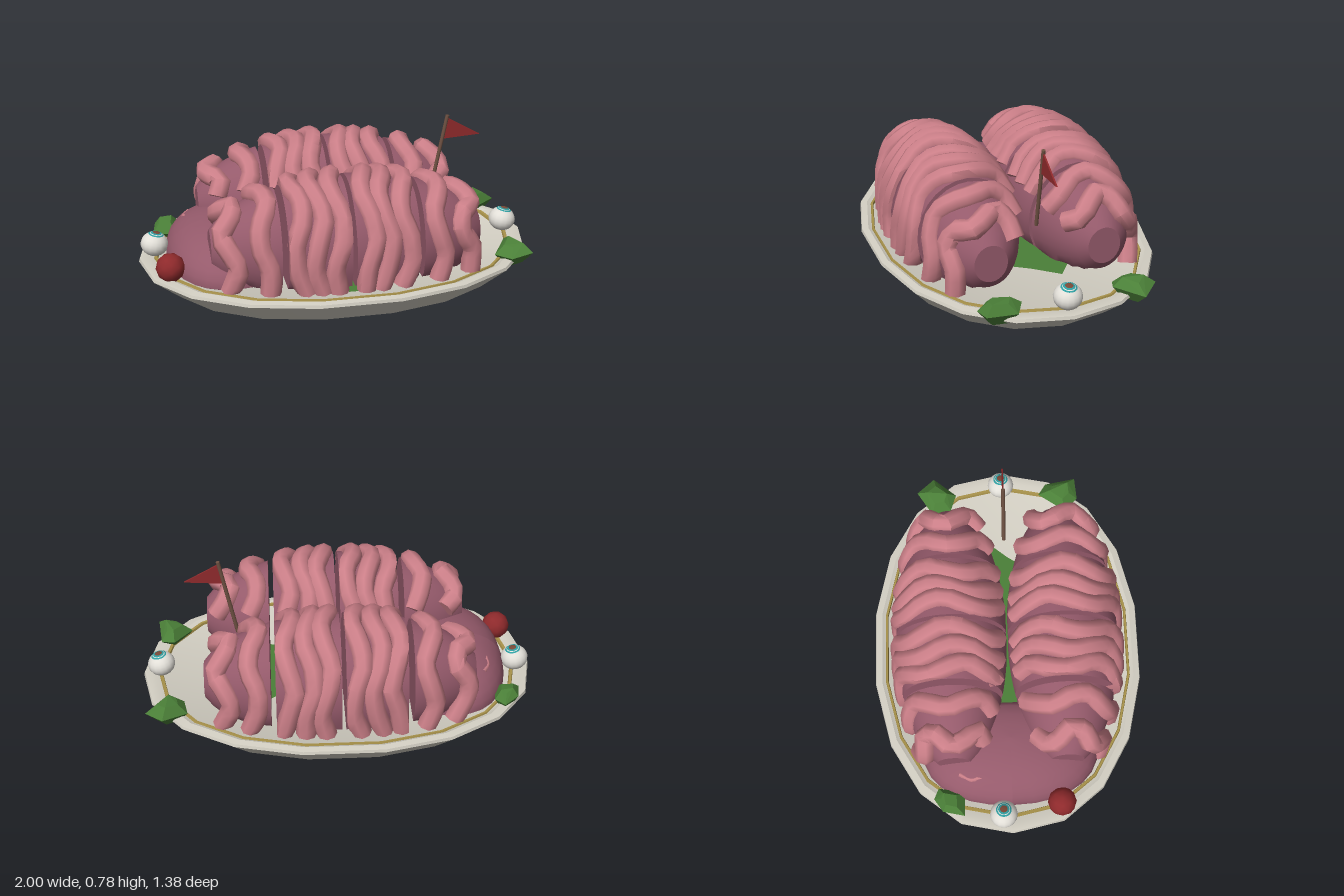
import * as THREE from 'three';
import { toCreasedNormals } from 'three/addons/utils/BufferGeometryUtils.js';
import { ConvexGeometry } from 'three/addons/geometries/ConvexGeometry.js';

const V = (x, y, z) => new THREE.Vector3(x, y, z);
const mat = (name, color, extra = {}) => Object.assign(new THREE.MeshStandardMaterial({ color, ...extra }), { name });
const power = (n, e) => Math.sign(n) * Math.pow(Math.abs(n), e);

export function createModel() {
  const root = new THREE.Group();
  const china = mat('china', 0xd3cfc3);
  const gold = mat('gold', 0xa8924a);
  const pink = mat('pinkFold', 0xcb7f88);
  const mauve = mat('mauveFlesh', 0x955a6b);
  const green = mat('leafGreen', 0x4b8038, { side: THREE.DoubleSide });
  const red = mat('red', 0x8f2a2c);
  const wood = mat('wood', 0x6e5142);
  const white = mat('eyeWhite', 0xe2dfd8);
  const teal = mat('teal', 0x2f9da0);
  const brown = mat('irisBrown', 0x7a4a38);

  const add = (name, geometry, material, parent = root) => {
    const m = new THREE.Mesh(geometry, material);
    m.name = name;
    parent.add(m);
    return m;
  };
  const moveVertices = (g, fn) => {
    const p = g.attributes.position, v = V(0, 0, 0);
    for (let i = 0; i < p.count; i++) {
      v.fromBufferAttribute(p, i);
      fn(v);
      p.setXYZ(i, v.x, v.y, v.z);
    }
    g.computeVertexNormals();
    return g;
  };
  const polygon = (pts) => new THREE.Shape(pts.map(([x, y]) => new THREE.Vector2(x, y)));

  // Oval platter: an 18-sided lathe squared off slightly and narrowed in z
  const oval = (profile) => {
    const g = new THREE.LatheGeometry(profile.map(([r, y]) => new THREE.Vector2(r, y)), 18, Math.PI / 2);
    moveVertices(g, (v) => {
      const r = Math.hypot(v.x, v.z);
      if (r > 1e-6) v.set(power(v.x / r, 0.92) * r, v.y, power(v.z / r, 0.92) * r * 0.7);
    });
    return toCreasedNormals(g, 0.5);
  };
  add('platter', oval([[0, 0], [0.86, 0], [1, 0.11], [0.995, 0.125], [0.95, 0.13], [0.91, 0.115], [0, 0.115]]), china);
  add('goldTrim', oval([[0.925, 0.118], [0.921, 0.128], [0.907, 0.127], [0.903, 0.113]]), gold);

  // Lettuce bed under the slices
  const bed = polygon([
    [0.6, 0.1], [0.36, 0.27], [0.1, 0.08], [-0.3, 0.3], [-0.37, 0.28], [-0.42, -0.1], [-0.1, -0.15],
    [-0.04, -0.57], [0.04, -0.57], [0.15, -0.15], [0.37, -0.22], [0.5, -0.02],
  ]);
  add('lettuceBed', new THREE.ShapeGeometry(bed).rotateX(-Math.PI / 2), green).position.y = 0.124;

  // Two hemispheres, each cut into four slices wrapped with winding folds
  const slices = [
    { x0: -0.72, x1: -0.35, folds: [-0.59, -0.425] },
    { x0: -0.32, x1: -0.018, folds: [-0.262, -0.17, -0.075] },
    { x0: 0.003, x1: 0.32, folds: [0.075, 0.155, 0.255] },
    { x0: 0.345, x1: 0.69, folds: [0.425, 0.575] },
  ];
  const floorY = 0.125, midZ = 0.285, innerZ = 0.004;

  const sliceBody = (x0, x1, side) => {
    const a = Math.max(x0, -0.67), b = Math.min(x1, 0.67), pts = [new THREE.Vector2(0, a)];
    for (let i = 0; i <= 8; i++) {
      const x = a + (b - a) * i / 8;
      pts.push(new THREE.Vector2(Math.sqrt(Math.max(0, 1 - (x / 0.7) ** 2)), x));
    }
    pts.push(new THREE.Vector2(0, b));
    const g = new THREE.LatheGeometry(pts, 28).rotateZ(-Math.PI / 2);
    moveVertices(g, (v) => v.set(
      v.x,
      Math.max(floorY, 0.28 + v.y * 0.325),
      side * Math.max(innerZ, midZ + side * v.z * 0.285),
    ));
    return toCreasedNormals(g, 0.7);
  };

  const foldTube = (x, x0, x1, side, n) => {
    const pts = [], count = 9, end = Math.abs(x) > 0.55;
    for (let i = 0; i < count; i++) {
      const a = -0.5 + (i / (count - 1)) * (Math.PI * 0.85 + 0.5);
      const wave = (end ? 0.042 : 0.03) * Math.sin(i * 1.65 + n * 0.7 + (side > 0 ? 0 : 2.2));
      const px = x + wave;
      const k = Math.sqrt(Math.max(0.3, 1 - (px / 0.74) ** 2));
      const y = a < 0 ? 0.28 + a * 0.32 : 0.28 + 0.325 * k * Math.sin(a);
      const z = midZ + 0.268 * k * (a < 0 ? 1 : Math.cos(a));
      pts.push(V(px, y, z * side));
    }
    const curve = new THREE.CatmullRomCurve3(pts, false, 'catmullrom', 0.2);
    const radius = 0.052, steps = 18, sides = 8;
    const g = new THREE.TubeGeometry(curve, steps, radius, sides);
    // Cap the inner end of the tube with a fan
    const index = Array.from(g.index.array), p = Array.from(g.attributes.position.array);
    const centre = p.length / 3, c = curve.getPoint(1), first = steps * (sides + 1);
    p.push(c.x, c.y, c.z);
    for (let j = 0; j < sides; j++) index.push(centre, first + j + 1, first + j);
    const capped = new THREE.BufferGeometry();
    capped.setAttribute('position', new THREE.Float32BufferAttribute(p, 3));
    capped.setIndex(index);
    moveVertices(capped, (v) => v.set(
      THREE.MathUtils.clamp(v.x, x0, x1),
      Math.max(floorY, v.y),
      side * Math.max(innerZ, side * v.z),
    ));
    return toCreasedNormals(capped, 0.9);
  };

  for (const side of [1, -1]) {
    const half = new THREE.Group();
    half.name = side > 0 ? 'frontHemisphere' : 'backHemisphere';
    root.add(half);
    slices.forEach(({ x0, x1, folds }, s) => {
      add('sliceBody', sliceBody(x0, x1, side), mauve, half);
      folds.forEach((x, f) => add('fold', foldTube(x, x0, x1, side, s * 3 + f), pink, half));
    });
  }

  // Smooth lower lobe at the end, with a shallow ridge on it
  const lobe = new THREE.SphereGeometry(1, 28, 16);
  moveVertices(lobe, (v) => v.set(
    Math.min(-0.36, -0.56 + power(v.x, 0.9) * 0.3),
    Math.max(floorY, 0.13 + v.y * 0.195),
    power(v.z, 0.9) * 0.45,
  ));
  add('lowerLobe', lobe, mauve);
  const ridge = new THREE.CatmullRomCurve3([V(-0.77, 0.235, -0.12), V(-0.745, 0.262, -0.16), V(-0.75, 0.25, -0.2), V(-0.72, 0.25, -0.26)]);
  add('lobeRidge', new THREE.TubeGeometry(ridge, 10, 0.014, 6), pink);

  // Flag on a leaning stick
  const bottom = V(0.505, 0.36, 0), top = V(0.588, 0.78, 0);
  const stick = add('flagStick', new THREE.CylinderGeometry(0.01, 0.01, bottom.distanceTo(top), 8), wood);
  stick.position.copy(bottom).lerp(top, 0.5);
  stick.quaternion.setFromUnitVectors(V(0, 1, 0), top.clone().sub(bottom).normalize());
  const flag = polygon([[0.588, 0.765], [0.568, 0.655], [0.76, 0.668]]);
  add('flag', new THREE.ExtrudeGeometry(flag, { depth: 0.008, bevelEnabled: false }), red).position.z = -0.004;

  // Eyeballs looking upward, the iris made of thin caps over the white
  const eye = (x, z) => {
    const g = new THREE.Group();
    g.name = 'eyeball';
    const cap = (r, angle) => new THREE.SphereGeometry(r, 18, 6, 0, Math.PI * 2, 0, angle);
    add('eyeWhite', new THREE.SphereGeometry(0.07, 16, 12), white, g);
    add('irisRing', cap(0.0715, 0.58), teal, g);
    add('irisGap', cap(0.0722, 0.46), white, g);
    add('iris', cap(0.073, 0.4), teal, g);
    add('irisCentre', cap(0.0738, 0.26), brown, g);
    g.position.set(x, 0.18, z);
    g.rotation.z = -0.2;
    g.scale.y = 0.88;
    root.add(g);
  };
  eye(-0.915, -0.045);
  eye(0.905, -0.005);

  // Cherry
  const cherry = add('cherry', new THREE.IcosahedronGeometry(0.073, 1), red);
  cherry.position.set(-0.86, 0.18, 0.25);

  // Chunky garnish leaves draped on the rim: a lens with an outline and smaller faces above and below
  const leaf = (outline) => {
    const cx = outline.reduce((s, p) => s + p[0], 0) / outline.length;
    const cz = outline.reduce((s, p) => s + p[1], 0) / outline.length;
    const pts = [];
    outline.forEach(([x, z], i) => {
      const ring = (k, y) => V(cx + (x - cx) * k, y, cz + (z - cz) * k);
      pts.push(ring(1, i % 2 ? 0.16 : 0.14), ring(0.5, i % 2 ? 0.2 : 0.185), ring(0.5, i % 2 ? 0.095 : 0.085));
    });
    add('garnishLeaf', new ConvexGeometry(pts), green);
  };
  leaf([[-0.91, -0.24], [-0.89, -0.35], [-0.82, -0.395], [-0.77, -0.37], [-0.79, -0.24]]);
  leaf([[0.76, -0.38], [0.88, -0.46], [0.97, -0.37], [0.86, -0.25], [0.78, -0.28]]);
  leaf([[0.76, 0.34], [0.85, 0.2], [0.92, 0.24], [0.94, 0.4], [0.83, 0.41]]);

  return root;
}
